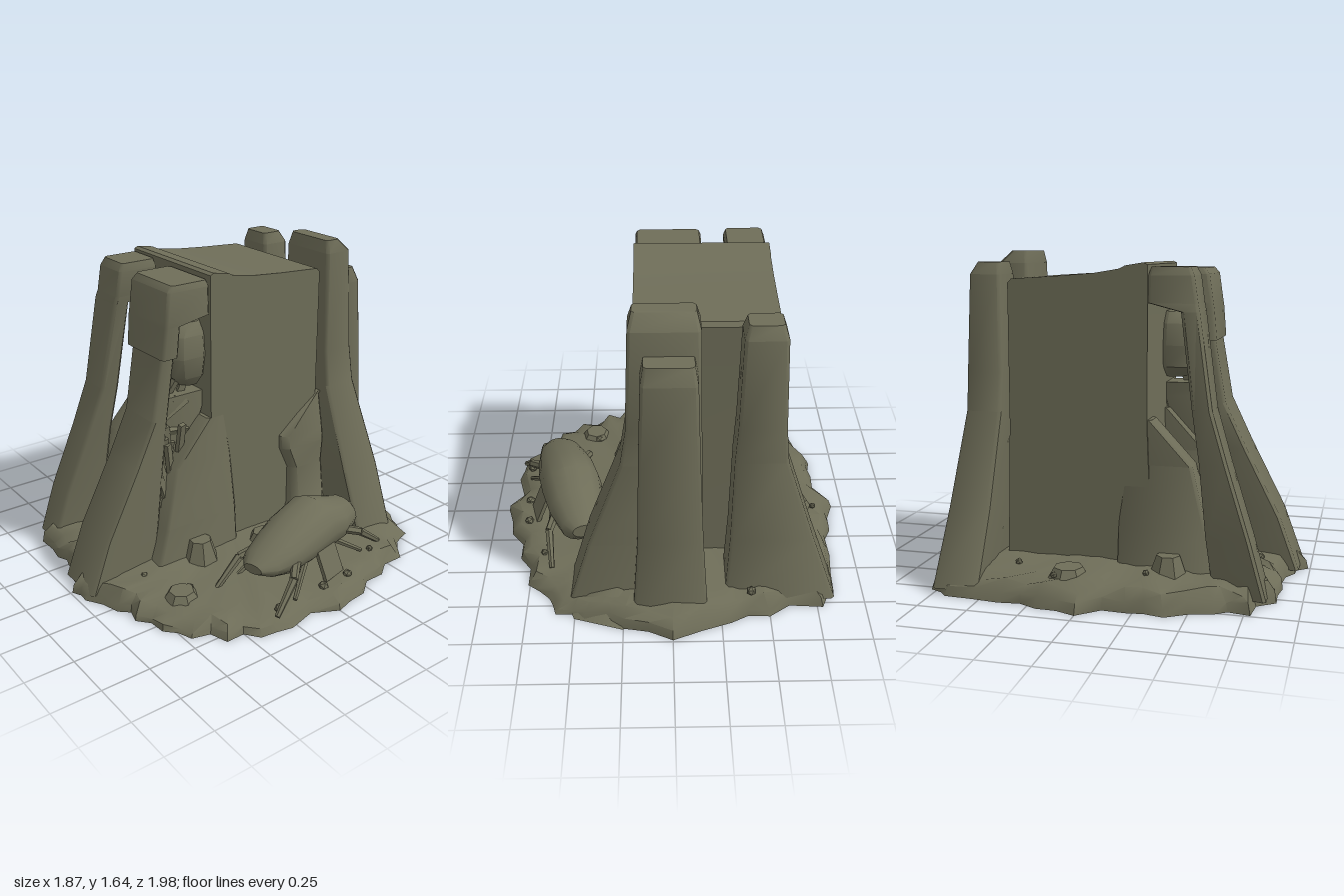
import * as THREE from 'three';
import { toCreasedNormals } from 'three/addons/utils/BufferGeometryUtils.js';

export function createModel() {
  const model = new THREE.Group();
  const stone = new THREE.MeshStandardMaterial({ color: 0x6e6d58, side: THREE.DoubleSide });
  stone.name = 'olive stone';
  let seed = 7;
  const rnd = () => ((seed = (seed * 16807) % 2147483647) / 2147483647);
  const jit = (a) => (rnd() - 0.5) * 2 * a;

  function add(name, geometry, parent = model, crease = 0.6) {
    const mesh = new THREE.Mesh(toCreasedNormals(geometry, crease), stone);
    mesh.name = name;
    parent.add(mesh);
    return mesh;
  }

  // Joins rings of [x, y, z] points, bottom to top, and caps both ends
  function skin(rings) {
    const n = rings[0].length, pos = rings.flat(2), idx = [];
    for (let r = 0; r < rings.length - 1; r++) {
      for (let i = 0; i < n; i++) {
        const a = r * n + i, b = r * n + (i + 1) % n;
        idx.push(a, a + n, b, b, a + n, b + n);
      }
    }
    [[0, 1], [rings.length - 1, -1]].forEach(([r, dir]) => {
      const c = pos.length / 3;
      [0, 1, 2].forEach((k) => pos.push(rings[r].reduce((s, p) => s + p[k], 0) / n));
      for (let i = 0; i < n; i++) {
        const a = r * n + i, b = r * n + (i + 1) % n;
        if (dir > 0) idx.push(c, a, b); else idx.push(c, b, a);
      }
    });
    const g = new THREE.BufferGeometry();
    g.setAttribute('position', new THREE.Float32BufferAttribute(pos, 3));
    g.setIndex(idx);
    return g;
  }

  // Chamfered column from horizontal slices [y, x0, x1, z0, z1, skew]
  function column(name, slices, c = 0.015) {
    return add(name, skin(slices.map(([y, x0, x1, z0, z1, k = 0]) => [
      [x0 + c, z0], [x1 - c, z0], [x1, z0 + c], [x1, z1 - c],
      [x1 - c, z1], [x0 + c, z1], [x0, z1 - c], [x0, z0 + c],
    ].map(([x, z]) => [x - k * (z - z1), y, z]))), model, 0.8);
  }

  function strut(name, a, b, r0, r1, parent) {
    const A = new THREE.Vector3(...a), B = new THREE.Vector3(...b);
    const d = B.clone().sub(A);
    const m = add(name, new THREE.CylinderGeometry(r1, r0, d.length(), 6), parent);
    m.position.copy(A).addScaledVector(d, 0.5);
    m.quaternion.setFromUnitVectors(new THREE.Vector3(0, 1, 0), d.normalize());
  }

  // Ragged ground slab
  const rim = [[0.93, 0], [0.9, 0.28], [0.87, 0.45], [0.8, 0.6], [0.68, 0.72], [0.55, 0.8], [0.4, 0.86],
    [0.28, 0.89], [0.1, 0.97], [0, 0.99], [-0.1, 0.93], [-0.25, 0.88], [-0.35, 0.89], [-0.55, 0.88],
    [-0.74, 0.78], [-0.76, 0.62], [-0.86, 0.4], [-0.85, 0.22], [-0.94, 0], [-0.9, -0.2], [-0.87, -0.4],
    [-0.85, -0.68], [-0.78, -0.78], [-0.5, -0.84], [-0.3, -0.88], [0, -0.99], [0.25, -0.91], [0.45, -0.85],
    [0.6, -0.81], [0.64, -0.7], [0.76, -0.6], [0.82, -0.4], [0.89, -0.2]];
  const edge = [];
  rim.forEach(([x, z], i) => {
    const [u, v] = rim[(i + 1) % rim.length];
    edge.push([x, z]);
    const s = 0.97 + jit(0.03);
    edge.push([(x + u) / 2 * s, (z + v) / 2 * s]);
  });
  const ground = [[1, 0, 0], [0.985, 0.045, 0.02], [0.94, 0.09, 0.025], [0.84, 0.112, 0.012], [0.65, 0.13, 0.01], [0.4, 0.16, 0]];
  add('ground', skin(ground.map(([s, y, j]) => edge.map(([x, z]) => {
    const lower = 1 - 0.35 * THREE.MathUtils.smoothstep(x, 0.2, 0.7);
    const t = s + (s < 1 ? jit(j * 0.5) : 0);
    return [x * t, (y + jit(j)) * lower, z * t];
  }))), model, 0.8);

  // Main tower: side profile swept across the width
  const profile = [[0.27, 0.05], [0.24, 0.8], [0.24, 1.58], [0.22, 1.59], [0.13, 1.575], [0.1, 1.56],
    [-0.02, 1.54], [-0.2, 1.525], [-0.44, 1.51], [-0.46, 1.49], [-0.46, 0.8], [-0.48, 0.05]];
  const tower = new THREE.ExtrudeGeometry(new THREE.Shape(profile.map((p) => new THREE.Vector2(...p))),
    { depth: 0.69, bevelEnabled: false });
  tower.rotateY(-Math.PI / 2).translate(0.18, 0, 0);
  add('tower', tower);

  // Sloping skirts behind the front legs
  [[-0.5, -0.37], [-0.1, 0.19]].forEach(([a, b]) => column('towerSkirt', [
    [0.05, a - 0.06, b + 0.04, 0.1, 0.62], [0.3, a - 0.03, b + 0.02, 0.1, 0.54],
    [0.62, a, b, 0.12, 0.46], [0.84, a, b - 0.01, 0.15, 0.26]]));

  // Front legs, bowed outward toward the ground
  column('frontRightLeg', [
    [0.03, -0.65, -0.47, 0.58, 0.84, 0.25], [0.3, -0.63, -0.45, 0.54, 0.76, 0.2], [0.65, -0.58, -0.4, 0.5, 0.64, 0.15],
    [0.9, -0.55, -0.36, 0.46, 0.56, 0.1], [1.36, -0.52, -0.31, 0.4, 0.49], [1.4, -0.51, -0.3, 0.24, 0.48],
    [1.53, -0.505, -0.29, 0.24, 0.46], [1.57, -0.49, -0.3, 0.25, 0.44]]);
  column('frontLeftLeg', [
    [0.03, -0.14, 0.14, 0.58, 0.95], [0.3, -0.135, 0.14, 0.54, 0.85], [0.65, -0.13, 0.14, 0.5, 0.67],
    [0.88, -0.13, 0.14, 0.47, 0.56], [1.22, -0.135, 0.14, 0.42, 0.5]]);
  column('frontLeftLegHead', [
    [1.2, -0.165, 0.17, 0.42, 0.515], [1.36, -0.17, 0.18, 0.41, 0.5], [1.39, -0.17, 0.18, 0.24, 0.495],
    [1.53, -0.17, 0.175, 0.24, 0.475], [1.56, -0.16, 0.165, 0.25, 0.45]]);

  // Back pillars with flared feet
  column('backLeftPillar', [
    [0.03, -0.16, 0.53, -0.76, -0.52], [0.4, -0.15, 0.42, -0.73, -0.49], [0.86, -0.145, 0.25, -0.68, -0.485],
    [1.05, -0.14, 0.22, -0.675, -0.49], [1.58, -0.13, 0.2, -0.655, -0.495], [1.645, -0.11, 0.18, -0.59, -0.505]]);
  column('backLeftButtress', [
    [0.03, -0.18, 0.2, -0.85, -0.65], [0.5, -0.15, 0.17, -0.83, -0.65], [0.95, -0.13, 0.16, -0.81, -0.65],
    [1.38, -0.115, 0.145, -0.79, -0.65], [1.46, -0.1, 0.13, -0.755, -0.65]]);
  column('backRightPillar', [
    [0.03, -0.84, -0.27, -0.75, -0.52], [0.4, -0.71, -0.29, -0.71, -0.5], [0.86, -0.56, -0.3, -0.67, -0.49],
    [1.05, -0.54, -0.31, -0.67, -0.49], [1.53, -0.52, -0.32, -0.655, -0.495], [1.59, -0.5, -0.34, -0.62, -0.505]]);

  // Rubble wedge between tower and back pillar
  column('sideWedge', [
    [0.05, 0.1, 0.34, -0.5, -0.22], [0.2, 0.1, 0.26, -0.5, -0.27], [0.42, 0.1, 0.23, -0.5, -0.27],
    [0.55, 0.1, 0.24, -0.5, -0.21], [0.62, 0.1, 0.23, -0.5, -0.21], [0.82, 0.1, 0.19, -0.5, -0.46]], 0.03);

  // Knob and tangled scrap behind the front left leg
  column('knob', [
    [1.0, -0.08, 0.08, 0.22, 0.34], [1.06, -0.17, 0.13, 0.22, 0.4], [1.17, -0.18, 0.15, 0.22, 0.42],
    [1.28, -0.16, 0.14, 0.22, 0.41], [1.34, -0.1, 0.1, 0.22, 0.36]], 0.04);
  column('scrapCore', [
    [0.3, -0.06, 0.09, 0.4, 0.58], [0.65, -0.06, 0.09, 0.3, 0.54], [0.9, -0.07, 0.1, 0.22, 0.49], [0.97, -0.07, 0.1, 0.22, 0.47]]);
  for (let i = 0; i < 28; i++) {
    const t = i / 27;
    const s = add('scrap', new THREE.BoxGeometry(0.025, 0.12 + 0.12 * rnd(), 0.035));
    s.position.set(0.08 + jit(0.05), 0.96 - 0.58 * t, 0.37 + 0.16 * t + jit(0.08 * (1 - t)));
    s.rotation.set(jit(t < 0.4 ? 1.5 : 0.3), jit(0.6), jit(0.3));
  }

  // Low mounds: [x, z, radius, top height]
  [[-0.56, 0.36, 0.13, 0.2], [0.24, 0.36, 0.13, 0.21], [-0.22, 0.4, 0.12, 0.24], [0.3, -0.02, 0.14, 0.15],
    [0.45, 0.62, 0.14, 0.11], [0.3, -0.62, 0.3, 0.13], [-0.7, -0.1, 0.16, 0.15]].forEach(([x, z, r, h]) => {
    const m = add('mound', new THREE.CylinderGeometry(r * 0.45, r, h, 7));
    m.position.set(x, h / 2, z);
    m.rotation.y = x * 5;
  });

  // Small stones on the ground
  for (let i = 0; i < 14; i++) {
    const a = i * 2.4, r = 0.7 + 0.18 * rnd();
    const s = add('stone', new THREE.IcosahedronGeometry(0.014 + 0.014 * rnd(), 0));
    s.position.set(Math.cos(a) * r, 0.105 - 0.03 * Math.cos(a), Math.sin(a) * r);
    s.rotation.set(i, i * 2, 0);
  }

  // Rounded pod lying beside the tower, from slices [z, halfWidth, bottom, top]
  const pod = new THREE.Group();
  pod.name = 'pod';
  pod.position.set(0.565, 0, -0.05);
  pod.rotation.y = 0.25;
  model.add(pod);
  const slices = [[-0.41, 0.06, 0.2, 0.28], [-0.36, 0.11, 0.14, 0.32], [-0.22, 0.15, 0.12, 0.37], [-0.08, 0.165, 0.12, 0.43],
    [0.08, 0.16, 0.12, 0.4], [0.22, 0.14, 0.13, 0.35], [0.34, 0.11, 0.17, 0.3], [0.41, 0.055, 0.21, 0.26]];
  add('podShell', skin(slices.map(([z, w, y0, y1]) => Array.from({ length: 14 }, (_, i) => {
    const a = (i / 14) * Math.PI * 2;
    return [Math.cos(a) * w, z, -((y0 + y1) / 2 - Math.sin(a) * (y1 - y0) / 2)];
  }))).rotateX(Math.PI / 2), pod, 0.7);
  [-1, 1].forEach((sx) => [-1, 1].forEach((sz) => {
    strut('podLegUpper', [sx * 0.1, 0.24, sz * 0.18], [sx * 0.17, 0.19, sz * 0.3], 0.025, 0.022, pod);
    strut('podLegLower', [sx * 0.17, 0.19, sz * 0.3], [sx * 0.19, 0.07, sz * 0.46], 0.022, 0.014, pod);
    strut('podLegInner', [sx * 0.11, 0.22, sz * 0.1], [sx * 0.18, 0.08, sz * 0.3], 0.018, 0.012, pod);
  }));
  const hatch = add('podHatch', new THREE.BoxGeometry(0.02, 0.17, 0.15), pod);
  hatch.position.set(0.17, 0.15, -0.01);
  hatch.rotation.z = 0.4;

  return model;
}
